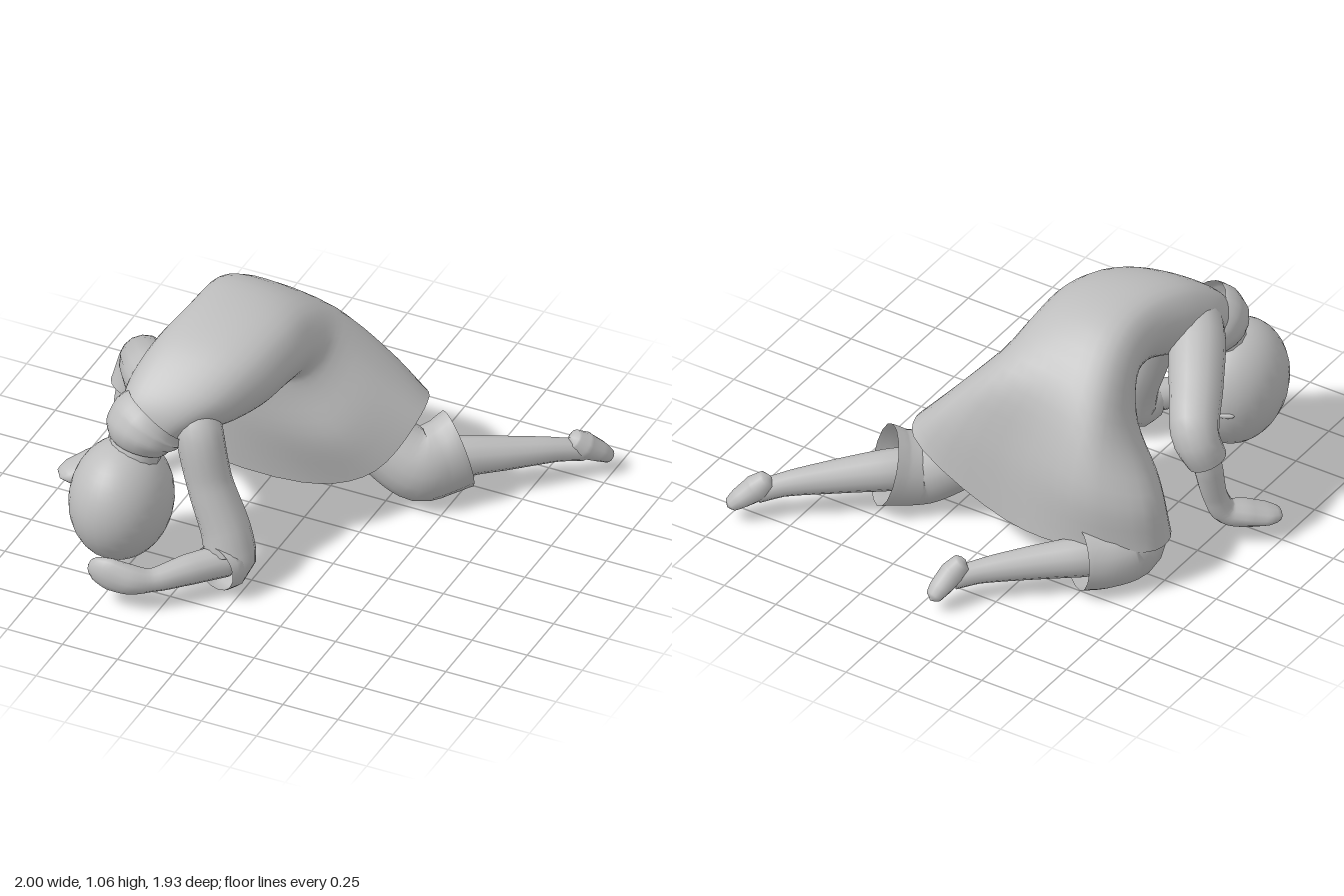
import * as THREE from 'three';

const V = (p) => new THREE.Vector3(p[0], p[1], p[2]);

// Skin a list of closed rings (equal point counts) with smooth normals
function skin(rings) {
  const n = rings[0].length, pos = [], idx = [];
  rings.forEach((r) => r.forEach((p) => pos.push(p.x, p.y, p.z)));
  for (let i = 0; i < rings.length - 1; i++) {
    for (let j = 0; j < n; j++) {
      const k = (j + 1) % n, a = i * n + j, b = i * n + k;
      idx.push(a, b, a + n, b, b + n, a + n);
    }
  }
  const g = new THREE.BufferGeometry();
  g.setAttribute('position', new THREE.Float32BufferAttribute(pos, 3));
  g.setIndex(idx);
  g.computeVertexNormals();
  return g;
}

// Limb along points [x, y, z, radius, heightScale]
function limb(pts, sides = 14) {
  const curve = new THREE.CatmullRomCurve3(pts.map(V));
  const steps = (pts.length - 1) * 5;
  const f = curve.computeFrenetFrames(steps, false);
  const rings = [];
  for (let i = 0; i <= steps; i++) {
    const t = curve.getUtoTmapping(i / steps);
    const s = t * (pts.length - 1), k = Math.min(Math.floor(s), pts.length - 2), w = s - k;
    const mix = (c, d) => THREE.MathUtils.lerp(pts[k][c] ?? d, pts[k + 1][c] ?? d, w);
    const r = mix(3, 0), flat = mix(4, 1), c = curve.getPoint(t), ring = [];
    for (let j = 0; j < sides; j++) {
      const a = (j / sides) * Math.PI * 2;
      const d = f.normals[i].clone().multiplyScalar(Math.cos(a) * r)
        .addScaledVector(f.binormals[i], Math.sin(a) * r);
      d.y *= flat;
      ring.push(d.add(c));
    }
    rings.push(ring);
  }
  return skin(rings);
}

// Eight-point ring: centre, tilt of the back direction, half sizes; the right side rides higher
function bodyRing([x, y, z, tilt, w, h]) {
  return Array.from({ length: 8 }, (_, i) => {
    const a = (i / 8) * Math.PI * 2, full = i % 2 ? 1.07 : 1;
    const dx = Math.cos(a) * w * full, s = Math.sin(a) * h * full - dx * 0.11;
    return new THREE.Vector3(x + dx, y + s * Math.cos(tilt), z + s * Math.sin(tilt));
  });
}

// Smooth the coarse rings around, then along the body
function bodySkin(coarse, around = 40, along = 36) {
  const loops = coarse.map((r) => {
    const c = new THREE.CatmullRomCurve3(r, true);
    return Array.from({ length: around }, (_, i) => c.getPoint(i / around));
  });
  const lines = loops[0].map((_, j) => new THREE.CatmullRomCurve3(loops.map((l) => l[j])));
  return skin(Array.from({ length: along + 1 }, (_, i) => lines.map((l) => l.getPoint(i / along))));
}

export function createModel() {
  const model = new THREE.Group();
  const grey = new THREE.MeshStandardMaterial({ color: 0xbebebe, side: THREE.DoubleSide });
  grey.name = 'plain grey';
  const add = (name, geo) => {
    const m = new THREE.Mesh(geo, grey);
    m.name = name;
    model.add(m);
    return m;
  };

  // Robe: hem, mid skirt and hip loops, then the arched back up to the neck
  const hem = [[0.39, 0.45, -0.29], [0.33, 0.45, -0.47], [-0.12, 0.19, -0.46], [-0.55, 0.22, -0.48],
    [-0.76, 0.21, -0.33], [-0.68, 0.17, -0.11], [-0.06, 0.1, -0.1], [0.27, 0.25, -0.11]];
  const mid = [[0.24, 0.61, -0.22], [0.2, 0.62, -0.42], [-0.14, 0.54, -0.43], [-0.52, 0.5, -0.49],
    [-0.73, 0.43, -0.32], [-0.61, 0.42, -0.1], [-0.18, 0.36, -0.03], [0.14, 0.44, -0.035]];
  const hip = [[0.08, 0.8, -0.16], [0.02, 0.84, -0.31], [-0.23, 0.84, -0.35], [-0.49, 0.78, -0.35],
    [-0.56, 0.68, -0.2], [-0.48, 0.6, -0.05], [-0.23, 0.59, 0.0], [0.02, 0.65, -0.02]];
  const torso = [
    [-0.23, 0.86, -0.05, -0.4, 0.27, 0.185],
    [-0.235, 0.885, 0.12, 0.05, 0.26, 0.178],
    [-0.28, 0.845, 0.31, 0.38, 0.26, 0.178],
    [-0.34, 0.775, 0.45, 0.65, 0.23, 0.155],
    [-0.39, 0.72, 0.54, 0.8, 0.17, 0.12],
    [-0.43, 0.64, 0.59, 0.9, 0.1, 0.09],
  ];
  add('robe', bodySkin([...[hem, mid, hip].map((l) => l.map(V)), ...torso.map(bodyRing)]));

  // Collar and neck
  add('collar', limb([[-0.41, 0.745, 0.55, 0.15], [-0.435, 0.71, 0.575, 0.165],
    [-0.45, 0.67, 0.595, 0.16], [-0.46, 0.62, 0.61, 0.12]], 18));
  add('neck', limb([[-0.43, 0.72, 0.56, 0.11], [-0.47, 0.6, 0.62, 0.11], [-0.49, 0.48, 0.64, 0.12]]));

  // Bowed head with the crown down and the face turned back
  const head = add('head', new THREE.SphereGeometry(1, 28, 20));
  head.scale.set(0.21, 0.27, 0.252);
  head.position.set(-0.51, 0.375, 0.668);
  head.rotation.x = 0.2;
  const nose = add('nose', new THREE.SphereGeometry(1, 12, 8));
  nose.scale.set(0.045, 0.08, 0.04);
  nose.position.set(-0.5, 0.45, 0.425);
  for (const s of [-1, 1]) {
    const eye = add(s > 0 ? 'leftEyelid' : 'rightEyelid', new THREE.SphereGeometry(1, 12, 8));
    eye.scale.set(0.04, 0.012, 0.012);
    eye.position.set(-0.51 + s * 0.09, 0.36, 0.445);
    eye.rotation.y = s * -0.4;
  }

  // Left arm folded in front of the head
  add('leftSleeve', limb([[-0.29, 0.79, 0.44, 0.08], [-0.235, 0.69, 0.51, 0.1], [-0.175, 0.47, 0.535, 0.095],
    [-0.085, 0.24, 0.555, 0.105], [-0.065, 0.14, 0.58, 0.11], [-0.09, 0.14, 0.66, 0.1]], 16));
  add('leftForearm', limb([[-0.07, 0.15, 0.6, 0.07], [-0.18, 0.15, 0.73, 0.065],
    [-0.29, 0.14, 0.85, 0.048], [-0.36, 0.15, 0.895, 0.055, 1.2], [-0.45, 0.17, 0.92, 0.045, 1.7],
    [-0.52, 0.18, 0.92, 0.03, 1.7], [-0.545, 0.18, 0.91, 0.001, 1]], 12));

  // Right arm propped out to the side
  add('rightSleeve', limb([[-0.44, 0.8, 0.45, 0.12], [-0.53, 0.77, 0.34, 0.12], [-0.635, 0.685, 0.17, 0.112],
    [-0.73, 0.57, 0.015, 0.1], [-0.775, 0.45, 0.035, 0.085]], 16));
  add('rightForearm', limb([[-0.765, 0.5, 0.03, 0.06], [-0.775, 0.4, 0.045, 0.06], [-0.785, 0.25, 0.08, 0.052],
    [-0.81, 0.16, 0.12, 0.055], [-0.865, 0.135, 0.18, 0.075, 0.7], [-0.925, 0.115, 0.245, 0.075, 0.5],
    [-0.955, 0.105, 0.285, 0.05, 0.5], [-0.965, 0.1, 0.3, 0.001, 0.5]], 12));
  add('rightThumb', limb([[-0.83, 0.14, 0.15, 0.025], [-0.81, 0.1, 0.21, 0.022], [-0.8, 0.08, 0.25, 0.002]], 8));

  // Kneeling trouser legs with open cuffs
  add('leftTrouser', limb([[0.1, 0.38, -0.28, 0.13], [0.25, 0.26, -0.28, 0.14], [0.37, 0.19, -0.31, 0.145, 1.1],
    [0.44, 0.2, -0.38, 0.14, 1.2], [0.49, 0.225, -0.435, 0.14, 1.35]], 16));
  add('rightTrouser', limb([[-0.54, 0.4, -0.28, 0.13], [-0.6, 0.28, -0.27, 0.14], [-0.6, 0.175, -0.3, 0.155],
    [-0.55, 0.155, -0.4, 0.145], [-0.48, 0.165, -0.49, 0.14]], 16));

  // Shins, and feet stretched out behind with the soles up
  add('leftLeg', limb([[0.36, 0.19, -0.3, 0.09], [0.5, 0.19, -0.43, 0.087], [0.66, 0.175, -0.56, 0.07],
    [0.82, 0.155, -0.695, 0.05], [0.9, 0.13, -0.77, 0.045]], 12));
  add('leftFoot', limb([[0.855, 0.205, -0.73, 0.001], [0.865, 0.195, -0.74, 0.04], [0.9, 0.155, -0.77, 0.058],
    [0.95, 0.11, -0.815, 0.05, 0.8], [0.98, 0.08, -0.84, 0.035, 0.7], [0.99, 0.07, -0.85, 0.001]], 12));
  add('rightLeg', limb([[-0.6, 0.16, -0.36, 0.09], [-0.48, 0.16, -0.48, 0.085], [-0.33, 0.15, -0.61, 0.07],
    [-0.17, 0.135, -0.76, 0.05], [-0.1, 0.12, -0.84, 0.045]], 12));
  add('rightFoot', limb([[-0.135, 0.205, -0.8, 0.001], [-0.125, 0.195, -0.81, 0.04], [-0.1, 0.155, -0.85, 0.052],
    [-0.08, 0.11, -0.91, 0.047, 0.8], [-0.07, 0.08, -0.945, 0.035, 0.7], [-0.065, 0.07, -0.96, 0.001]], 12));
  return model;
}
